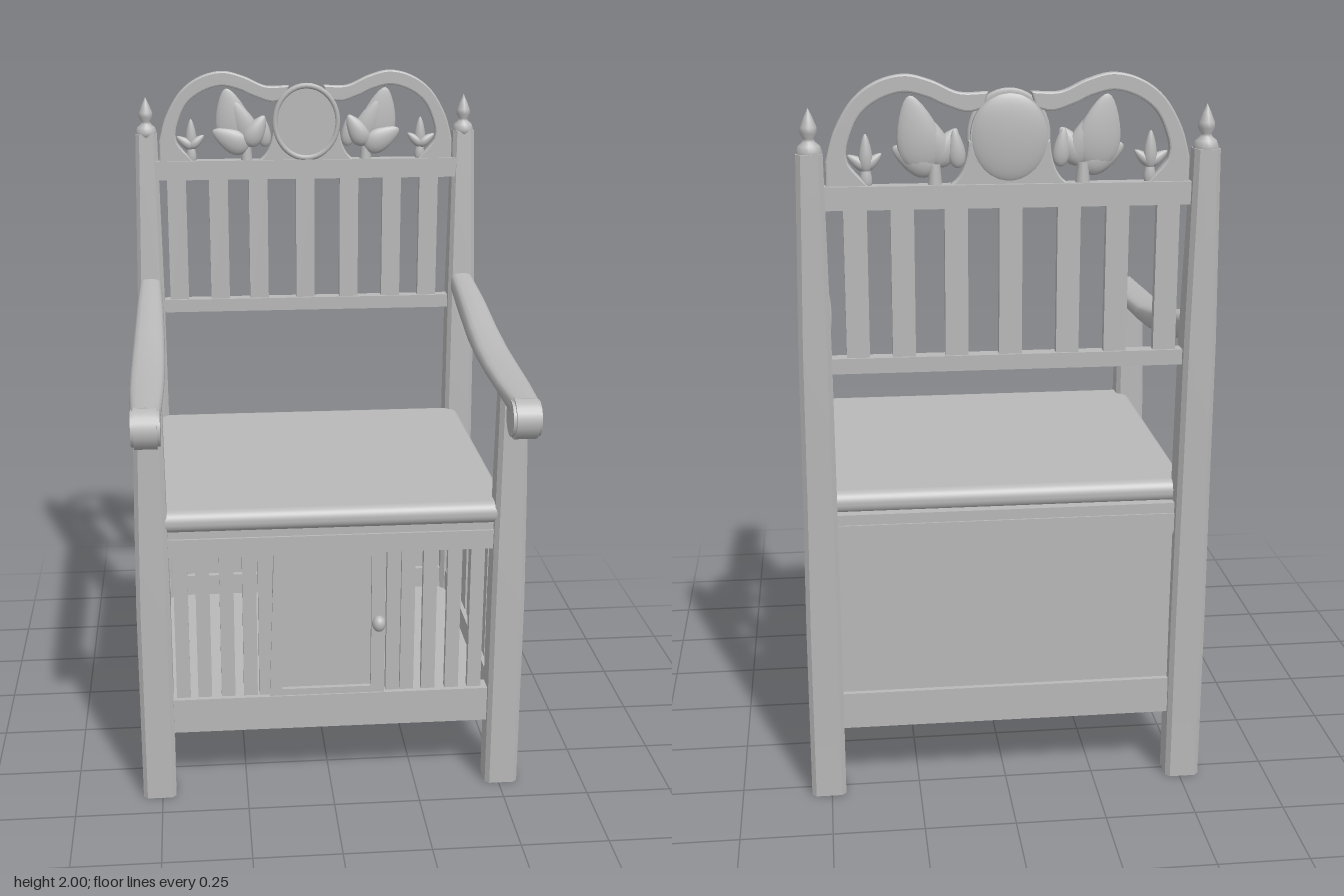
import * as THREE from 'three';
import { toCreasedNormals } from 'three/addons/utils/BufferGeometryUtils.js';
import { RoundedBoxGeometry } from 'three/addons/geometries/RoundedBoxGeometry.js';

const wood = new THREE.MeshStandardMaterial({ color: 0xb8b8b8 });
wood.name = 'plain grey';

function add(parent, name, geometry, x = 0, y = 0, z = 0) {
  const mesh = new THREE.Mesh(geometry, wood);
  mesh.name = name;
  mesh.position.set(x, y, z);
  parent.add(mesh);
  return mesh;
}

// Box given by its low and high corners
function block(parent, name, x0, x1, y0, y1, z0, z1) {
  return add(parent, name, new THREE.BoxGeometry(x1 - x0, y1 - y0, z1 - z0),
    (x0 + x1) / 2, (y0 + y1) / 2, (z0 + z1) / 2);
}

// Closed skin over a list of equal-length rings of [x, y, z]
function loft(rings, crease) {
  const n = rings[0].length, pos = rings.flat(2), index = [];
  for (let r = 0; r < rings.length - 1; r++)
    for (let i = 0; i < n; i++) {
      const a = r * n + i, b = r * n + (i + 1) % n;
      index.push(a, b, a + n, b, b + n, a + n);
    }
  const last = (rings.length - 1) * n;
  for (let i = 1; i < n - 1; i++) index.push(0, i + 1, i, last, last + i, last + i + 1);
  const g = new THREE.BufferGeometry();
  g.setAttribute('position', new THREE.Float32BufferAttribute(pos, 3));
  g.setIndex(index);
  return toCreasedNormals(g, crease);
}

// Tapered post with small chamfers; sections are [y, x centre, z centre, width, depth]
function postGeometry(sections) {
  const c = 0.012;
  return loft(sections.map(([y, cx, cz, w, d]) => {
    const a = w / 2, b = d / 2;
    return [[a, b - c], [a, c - b], [a - c, -b], [c - a, -b], [-a, c - b], [-a, b - c], [c - a, b], [a - c, b]]
      .map(([x, z]) => [cx + x, y, cz + z]);
  }), 0.3);
}

// Armrest: rounded section swept from back to front; rows are [z, bottom, top, width]
function armGeometry() {
  const rows = [[-0.5, 1.285, 1.355, 0.07], [-0.3, 1.25, 1.325, 0.084], [-0.1, 1.217, 1.282, 0.093],
    [0.05, 1.207, 1.258, 0.097], [0.2, 1.203, 1.247, 0.098], [0.36, 1.2, 1.242, 0.094], [0.53, 1.185, 1.24, 0.08]];
  return loft(rows.map(([z, lo, hi, w]) => {
    const ring = [];
    for (let i = 0; i < 16; i++) {
      const t = i / 16 * Math.PI * 2, c = Math.cos(t), s = Math.sin(t);
      const px = Math.sign(c) * Math.abs(c) ** 0.6, py = Math.sign(s) * Math.abs(s) ** 0.6;
      ring.push([px * w / 2, (lo + hi) / 2 + py * (hi - lo) / 2, z]);
    }
    return ring;
  }), 0.8);
}

const v2 = pts => pts.map(([x, y]) => new THREE.Vector2(x, y));

// Pointed leaf bulging on both faces, base at the origin, tip along +y
function leafGeometry(length, width, thick) {
  const g = new THREE.SphereGeometry(1, 16, 12);
  const p = g.attributes.position;
  for (let i = 0; i < p.count; i++) {
    const t = (p.getY(i) + 1) / 2, narrow = 1.15 - 0.65 * t;
    p.setXYZ(i, p.getX(i) * narrow * width / 2, t * length, p.getZ(i) * narrow * thick / 2);
  }
  g.computeVertexNormals();
  return g;
}

export function createModel() {
  const model = new THREE.Group();
  model.name = 'armchair';

  // Legs, posts, finials and arms, mirrored
  const finial = new THREE.LatheGeometry(v2([[0, -0.01], [0.03, -0.01], [0.034, 0.008], [0.028, 0.024], [0.016, 0.034],
    [0.014, 0.042], [0.022, 0.056], [0.021, 0.07], [0.011, 0.095], [0, 0.118]]), 16);
  const scroll = new THREE.CylinderGeometry(0.057, 0.057, 0.062, 24).rotateZ(Math.PI / 2);
  const scrollEdge = new THREE.CylinderGeometry(0.05, 0.05, 0.078, 24).rotateZ(Math.PI / 2);
  for (const s of [1, -1]) {
    const side = s > 0 ? 'left' : 'right';
    add(model, side + 'FrontLeg', postGeometry([[0, s * 0.508, 0.376, 0.096, 0.092],
      [0.6, s * 0.508, 0.376, 0.096, 0.092], [0.9, s * 0.507, 0.375, 0.088, 0.082], [1.21, s * 0.505, 0.374, 0.078, 0.07]]));
    add(model, side + 'BackPost', postGeometry([[0, s * 0.508, -0.51, 0.096, 0.09], [0.5, s * 0.508, -0.512, 0.096, 0.092],
      [0.9, s * 0.507, -0.518, 0.09, 0.096], [1.3, s * 0.507, -0.526, 0.086, 0.092], [1.81, s * 0.506, -0.543, 0.068, 0.064]]));
    add(model, side + 'Finial', finial, s * 0.506, 1.805, -0.541);
    add(model, side + 'Arm', armGeometry(), s * 0.507);
    add(model, side + 'ArmScroll', scroll, s * 0.507, 1.182, 0.525);
    add(model, side + 'ArmScrollEdge', scrollEdge, s * 0.507, 1.182, 0.525);

    // Side rails and slats
    const [a, b] = s > 0 ? [0.475, 0.525] : [-0.525, -0.475];
    block(model, side + 'BottomRail', a, b, 0.2, 0.305, -0.49, 0.36);
    block(model, side + 'TopRail', a, b, 0.75, 0.806, -0.49, 0.36);
    block(model, side + 'SeatLip', a + 0.005, b - 0.005, 0.8, 0.835, -0.49, 0.36);
    for (const z of [0.275, 0.16, 0.045, -0.073, -0.178, -0.295, -0.413])
      block(model, side + 'SideSlat', s * 0.5 - 0.012, s * 0.5 + 0.012, 0.29, 0.765, z - 0.036, z + 0.036);
  }

  // Seat box: floor, back panel and cross rails
  block(model, 'floor', -0.49, 0.49, 0.215, 0.235, -0.5, 0.37);
  block(model, 'backPanel', -0.48, 0.48, 0.28, 0.77, -0.52, -0.505);
  block(model, 'backBottomRail', -0.48, 0.48, 0.2, 0.305, -0.535, -0.485);
  block(model, 'backTopRail', -0.48, 0.48, 0.75, 0.806, -0.535, -0.485);
  block(model, 'backSeatLip', -0.48, 0.48, 0.8, 0.835, -0.53, -0.47);
  block(model, 'frontBottomRail', -0.48, 0.48, 0.2, 0.305, 0.345, 0.397);
  block(model, 'frontTopRail', -0.48, 0.48, 0.75, 0.806, 0.345, 0.397);
  block(model, 'frontSeatLip', -0.48, 0.48, 0.8, 0.835, 0.345, 0.39);
  add(model, 'seat', new RoundedBoxGeometry(1.01, 0.064, 0.92, 5, 0.03), 0, 0.858, -0.05);

  // Front slats either side of the door
  for (const x of [-0.43, -0.368, -0.3, -0.235, -0.19, 0.18, 0.222, 0.285, 0.355, 0.422])
    block(model, 'frontSlat', x - 0.02, x + 0.02, 0.29, 0.765, 0.36, 0.382);

  // Door: frame, panel and knob
  const doorShape = new THREE.Shape(v2([[-0.18, 0.305], [0.155, 0.305], [0.155, 0.75], [-0.165, 0.75]]));
  doorShape.holes.push(new THREE.Path(v2([[-0.143, 0.325], [-0.143, 0.735], [0.115, 0.735], [0.115, 0.325]])));
  add(model, 'doorFrame', new THREE.ExtrudeGeometry(doorShape, { depth: 0.025, bevelEnabled: false }), 0, 0, 0.367);
  block(model, 'doorPanel', -0.15, 0.12, 0.315, 0.74, 0.366, 0.378);
  add(model, 'doorKnob', new THREE.SphereGeometry(0.022, 16, 12), 0.136, 0.527, 0.398).scale.set(0.9, 1.1, 0.9);

  // Backrest rails and slats
  block(model, 'backrestLowerRail', -0.48, 0.48, 1.235, 1.276, -0.545, -0.505);
  block(model, 'backrestUpperRail', -0.485, 0.485, 1.665, 1.725, -0.55, -0.505);
  for (const x of [-0.415, -0.282, -0.155, -0.004, 0.137, 0.275, 0.395])
    block(model, 'backrestSlat', x - 0.03, x + 0.03, 1.26, 1.68, -0.538, -0.514);

  // Crest: scrolled bands and leaves on each side of a medallion
  const crest = new THREE.Group();
  crest.name = 'crest';
  crest.position.z = -0.525;
  model.add(crest);
  const bevel = { depth: 0.014, bevelThickness: 0.005, bevelSize: 0.005, bevelSegments: 2, curveSegments: 16 };
  const band = s => {
    const outer = [[-0.462, 1.785], [-0.44, 1.86], [-0.395, 1.935], [-0.335, 1.98], [-0.265, 1.997], [-0.2, 1.982], [-0.13, 1.952], [-0.06, 1.952]];
    const inner = [[-0.07, 1.92], [-0.11, 1.912], [-0.165, 1.93], [-0.21, 1.95], [-0.27, 1.962], [-0.335, 1.942], [-0.385, 1.9], [-0.415, 1.83], [-0.415, 1.785], [-0.395, 1.755]];
    const shape = new THREE.Shape();
    shape.moveTo(-0.462 * s, 1.72);
    shape.lineTo(-0.462 * s, 1.785);
    shape.splineThru(v2(outer.slice(1)).map(p => p.setX(p.x * s)));
    shape.lineTo(-0.07 * s, 1.92);
    shape.splineThru(v2(inner.slice(1)).map(p => p.setX(p.x * s)));
    shape.lineTo(-0.36 * s, 1.72);
    return new THREE.ExtrudeGeometry(shape, bevel).translate(0, 0, -0.007);
  };
  for (const s of [1, -1]) {
    add(crest, 'crestBand', band(s));
    // Foot that carries the medallion
    const foot = new THREE.Shape();
    foot.moveTo(0, 1.72);
    foot.lineTo(-0.15 * s, 1.72);
    foot.quadraticCurveTo(-0.105 * s, 1.745, -0.1 * s, 1.83);
    foot.lineTo(0, 1.83);
    add(crest, 'medallionFoot', new THREE.ExtrudeGeometry(foot, bevel), 0, 0, -0.007);
    // [x, y, length, width, thickness, tilt, z]
    for (const [x, y, l, w, d, tilt, z] of [
      [-0.215, 1.762, 0.19, 0.13, 0.035, 0.2, 0], [-0.165, 1.77, 0.16, 0.085, 0.035, 0.45, 0.004],
      [-0.185, 1.762, 0.125, 0.09, 0.045, 1.1, 0.008], [-0.19, 1.77, 0.11, 0.075, 0.045, -0.55, 0.01],
      [-0.13, 1.765, 0.1, 0.05, 0.03, 0.1, 0],
      [-0.365, 1.755, 0.1, 0.04, 0.03, 0, 0], [-0.36, 1.765, 0.062, 0.036, 0.03, 0.95, 0.004],
      [-0.37, 1.765, 0.06, 0.034, 0.03, -0.85, 0.004], [-0.365, 1.712, 0.07, 0.036, 0.025, 0, 0]]) {
      const leaf = add(crest, 'crestLeaf', leafGeometry(l, w, d), x * s, y, z);
      leaf.rotation.z = tilt * s;
    }
    add(crest, 'leafStem', new THREE.CylinderGeometry(0.014, 0.02, 0.06, 10), -0.19 * s, 1.745, 0);
  }
  const disc = new THREE.CylinderGeometry(0.1, 0.1, 0.026, 40).rotateX(Math.PI / 2);
  add(crest, 'medallion', disc, 0, 1.843, 0).scale.y = 1.14;
  add(crest, 'medallionRim', new THREE.TorusGeometry(0.1, 0.008, 8, 40), 0, 1.843, 0.012).scale.y = 1.13;
  const dome = new THREE.SphereGeometry(0.1, 32, 16);
  add(crest, 'medallionBack', dome, 0, 1.843, -0.008).scale.set(1, 1.14, 0.2);

  return model;
}
